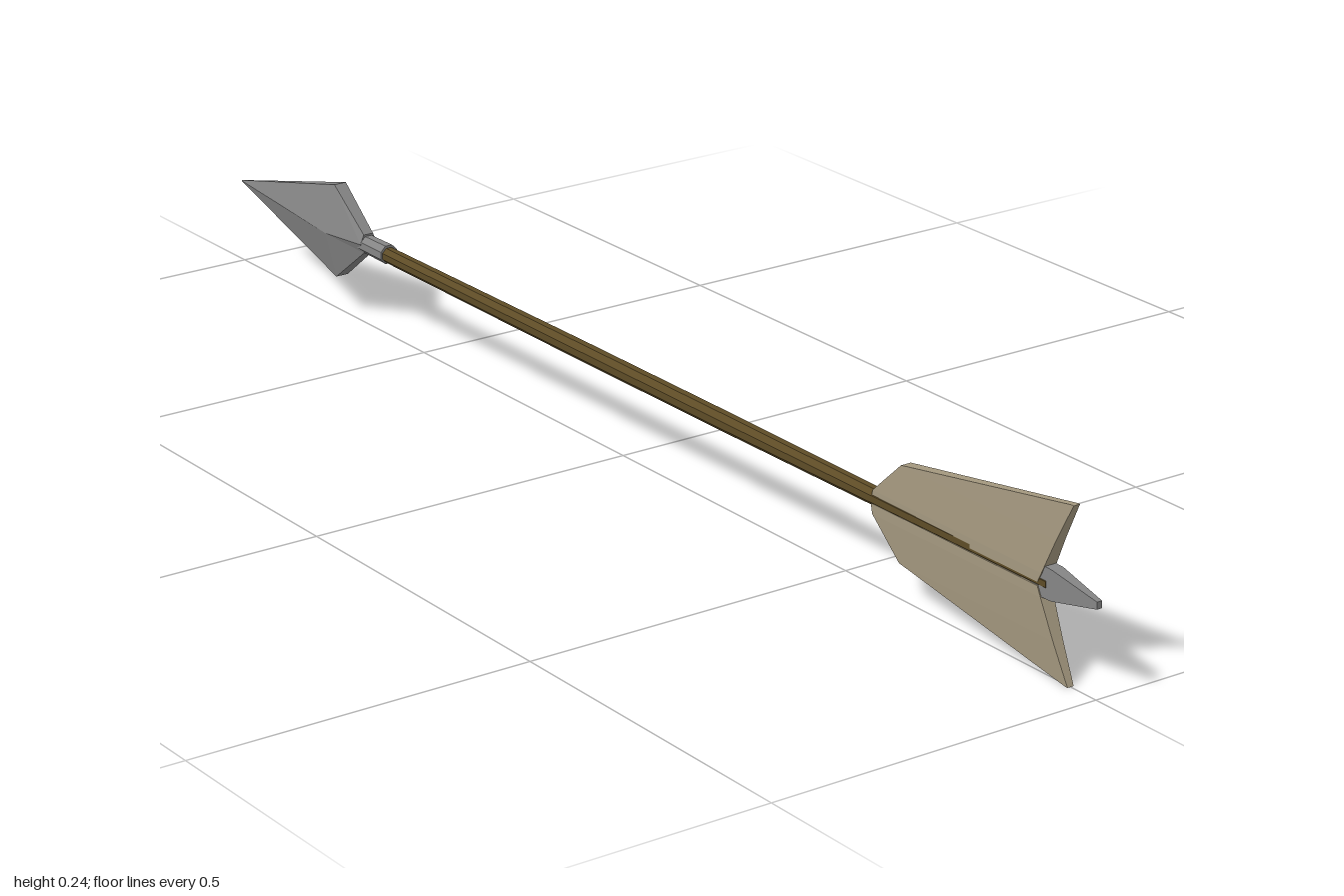
import * as THREE from 'three';

const mat = (color) => new THREE.MeshStandardMaterial({ color, flatShading: true });

// Skin a list of equal-length rings of [x, y, z] points, closing both ends.
function loft(rings) {
  const pos = [];
  const tri = (a, b, c) => pos.push(...a, ...b, ...c);
  const n = rings[0].length;
  for (let i = 0; i < rings.length - 1; i++) {
    for (let j = 0; j < n; j++) {
      const k = (j + 1) % n;
      const [a, b, c, d] = [rings[i][j], rings[i][k], rings[i + 1][k], rings[i + 1][j]];
      tri(a, b, c);
      tri(a, c, d);
    }
  }
  const first = rings[0], last = rings[rings.length - 1];
  for (let j = 1; j < n - 1; j++) {
    tri(first[0], first[j + 1], first[j]);
    tri(last[0], last[j], last[j + 1]);
  }
  const g = new THREE.BufferGeometry();
  g.setAttribute('position', new THREE.Float32BufferAttribute(pos, 3));
  g.computeVertexNormals();
  return g;
}

// Six-sided blade section: flat narrow edges above and below, ridge at each side
const bladeRing = (x, h, t, w) =>
  [[x, h, t], [x, 0, w], [x, -h, t], [x, -h, -t], [x, 0, -w], [x, h, -t]];

// Round section around the x axis
const roundRing = (x, r, sides = 8) => Array.from({ length: sides }, (_, i) => {
  const a = ((i + 0.5) / sides) * Math.PI * 2;
  return [x, r * Math.cos(a), r * Math.sin(a)];
});

// Rectangular sections, across x and across y
const boxRing = (x, h, w) => [[x, h, -w], [x, h, w], [x, -h, w], [x, -h, -w]];
const finRing = (y, x0, x1, t) => [[x0, y, t], [x1, y, t], [x1, y, -t], [x0, y, -t]];

export function createModel() {
  const model = new THREE.Group();
  model.name = 'arrow';
  const steel = mat(0x858585), wood = mat(0x5e4c26), feather = mat(0xa4987f);

  const add = (name, rings, material, y) => {
    const mesh = new THREE.Mesh(loft(rings), material);
    mesh.name = name;
    mesh.position.y = y;
    model.add(mesh);
    return mesh;
  };

  // Pointed head and its socket
  add('arrowhead', [
    bladeRing(-1, 0.001, 0.0005, 0.001),
    bladeRing(-0.72, 0.072, 0.01, 0.028),
    bladeRing(-0.645, 0.014, 0.008, 0.014),
  ], steel, 0.128);
  add('socket', [roundRing(-0.66, 0.014), roundRing(-0.59, 0.015)], steel, 0.126);

  // Shaft, slightly fuller in the middle
  add('shaft', [
    roundRing(-0.6, 0.012), roundRing(-0.1, 0.0138),
    roundRing(0.25, 0.0138), roundRing(0.57, 0.0125), roundRing(0.91, 0.0105),
  ], wood, 0.125);

  // Upper and lower feathers
  const fin = [
    finRing(0.002, 0.563, 0.895, 0.0105),
    finRing(0.016, 0.566, 0.902, 0.0105),
    finRing(0.067, 0.62, 0.925, 0.008),
    finRing(0.121, 0.948, 0.952, 0.005),
  ];
  add('upperFeather', fin, feather, 0.122);
  add('lowerFeather', fin, feather, 0.121).rotation.x = Math.PI;

  // Tapered nock at the tail
  add('nock', [boxRing(0.88, 0.022, 0.009), boxRing(0.92, 0.021, 0.009), boxRing(1, 0.005, 0.004)], steel, 0.127);

  return model;
}
